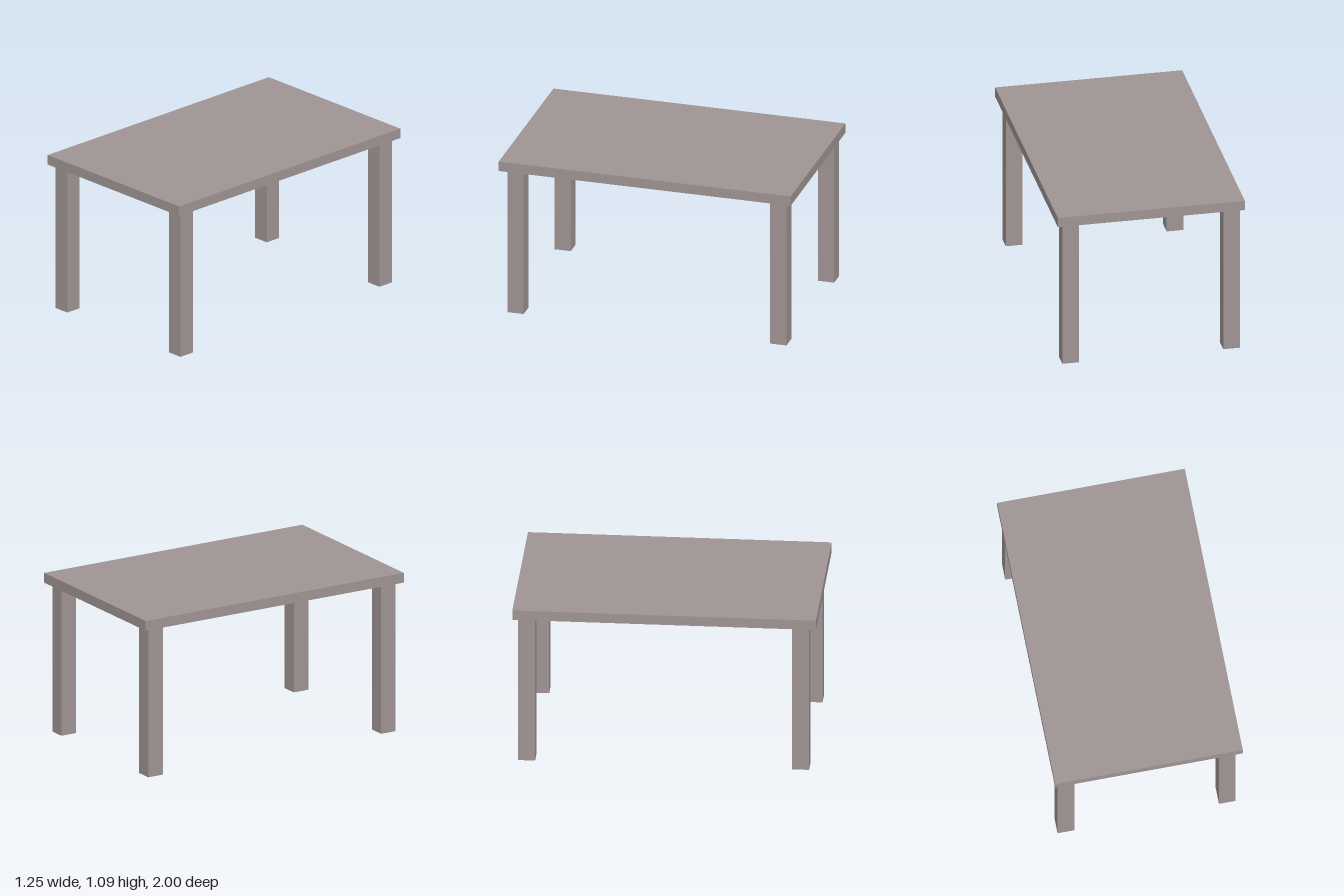
import * as THREE from 'three';

export function createModel() {
  const model = new THREE.Group();
  model.name = 'table';
  const material = new THREE.MeshStandardMaterial({ color: 0xa09494 });

  const addBox = (name, [w, h, d], [x, y, z]) => {
    const mesh = new THREE.Mesh(new THREE.BoxGeometry(w, h, d), material);
    mesh.name = name;
    mesh.position.set(x, y, z);
    model.add(mesh);
  };

  const legHeight = 1.02, legWidth = 0.112, topThickness = 0.067;

  // Flat rectangular top
  addBox('tableTop', [1.254, topThickness, 2], [0, legHeight + topThickness / 2, 0]);

  // Four square legs, set in from the corners by slightly uneven amounts
  const legs = [
    ['frontLeftLeg', 0.533, 0.896],
    ['frontRightLeg', -0.546, 0.896],
    ['backLeftLeg', 0.533, -0.904],
    ['backRightLeg', -0.546, -0.908],
  ];
  for (const [name, x, z] of legs) {
    addBox(name, [legWidth, legHeight, legWidth], [x, legHeight / 2, z]);
  }

  return model;
}
